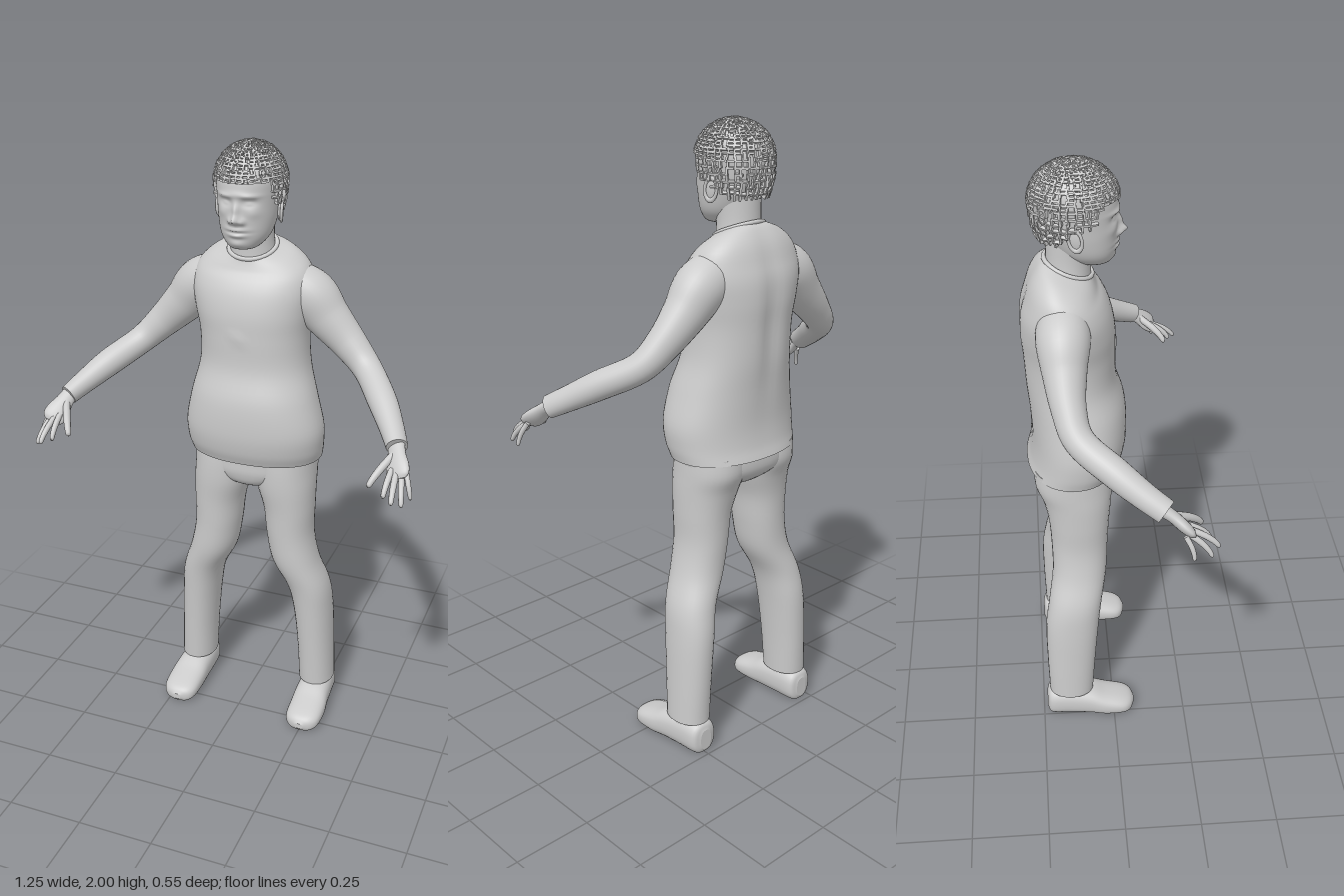
import * as THREE from 'three';
import { mergeGeometries } from 'three/addons/utils/BufferGeometryUtils.js';

const material = new THREE.MeshStandardMaterial({ color: 0xcccccc });
const V = (x, y, z) => new THREE.Vector3(x, y, z);
const gauss = (d, s) => Math.exp(-(d * d) / (s * s));

function add(parent, name, geometry) {
  const mesh = new THREE.Mesh(geometry, material);
  mesh.name = name;
  parent.add(mesh);
  return mesh;
}

// Smooth skin through elliptical sections [x, y, z, halfWidth, halfDepth].
// "wide" is the width direction; "axis" fixes the plane of every section;
// "rule" may move each point.
function loft(sections, { wide = V(1, 0, 0), axis = null, steps = 5, sides = 32, power = 1, rule = null } = {}) {
  const path = new THREE.CatmullRomCurve3(sections.map(s => V(s[0], s[1], s[2])), false, 'catmullrom', 0.5);
  const size = new THREE.CatmullRomCurve3(sections.map(s => V(s[3], s[4], 0)), false, 'catmullrom', 0.5);
  const rows = (sections.length - 1) * steps;
  const pos = [], index = [];
  const round = c => Math.sign(c) * Math.abs(c) ** power;
  const push = p => { if (rule) rule(p); pos.push(p.x, p.y, p.z); };
  const ring = j => {
    const c = path.getPoint(j / rows), r = size.getPoint(j / rows);
    const t = axis || path.getTangent(j / rows);
    const u = wide.clone().addScaledVector(t, -wide.dot(t)).normalize();
    const w = t.clone().cross(u);
    for (let i = 0; i < sides; i++) {
      const a = (i / sides) * Math.PI * 2;
      push(c.clone().addScaledVector(u, r.x * round(Math.cos(a))).addScaledVector(w, r.y * round(Math.sin(a))));
    }
    return c;
  };
  for (let j = 0; j <= rows; j++) ring(j);
  for (let j = 0; j < rows; j++) for (let i = 0; i < sides; i++) {
    const a = j * sides + i, b = j * sides + (i + 1) % sides;
    index.push(a, b, a + sides, b, b + sides, a + sides);
  }
  // End caps with their own vertices so that the rim stays crisp
  for (const j of [0, rows]) {
    const base = pos.length / 3;
    push(ring(j));
    for (let i = 0; i < sides; i++) {
      const a = base + i, b = base + (i + 1) % sides;
      if (j) index.push(a, b, base + sides); else index.push(b, a, base + sides);
    }
  }
  const g = new THREE.BufferGeometry();
  g.setAttribute('position', new THREE.Float32BufferAttribute(pos, 3));
  g.setIndex(index);
  g.computeVertexNormals();
  return g;
}

// Upright skin from rows [y, centreX, halfWidth, backZ, frontZ]
const UP = V(0, 1, 0);
const upright = (rows, options) => loft(
  rows.map(([y, x, w, back, front]) => [x, y, (back + front) / 2, w, (front - back) / 2]), { axis: UP, ...options });

function createBody(root) {
  // Sweater: collar tilts forward, spine is grooved
  add(root, 'sweater', upright([
    [0.985, 0.02, 0.222, -0.268, 0.028], [1.03, 0.02, 0.23, -0.256, 0.045], [1.1, 0.02, 0.231, -0.25, 0.055],
    [1.2, 0.016, 0.208, -0.255, 0.05], [1.3, 0.012, 0.182, -0.265, 0.022], [1.4, 0.008, 0.178, -0.27, 0.02],
    [1.48, 0.003, 0.19, -0.274, 0.018], [1.55, 0, 0.198, -0.268, 0.002], [1.61, 0, 0.185, -0.246, -0.028],
    [1.65, 0, 0.14, -0.215, -0.04], [1.675, 0, 0.082, -0.192, -0.048],
  ], {
    sides: 64, power: 0.9, rule: p => {
      if (p.z < -0.15) p.z += 0.014 * gauss(p.x, 0.035) * gauss(p.y - 1.4, 0.2);
      if (p.z > -0.05) p.z += 0.006 * gauss(p.x, 0.02) * gauss(p.y - 1.41, 0.015);
      p.y -= THREE.MathUtils.smoothstep(p.y, 1.58, 1.67) * (p.z + 0.12) * 0.4;
    },
  }));
  const collar = add(root, 'collar', new THREE.TorusGeometry(0.076, 0.007, 10, 48));
  collar.position.set(0, 1.676, -0.12);
  collar.rotation.x = Math.PI / 2 + 0.38;
  add(root, 'neck', upright([
    [1.6, 0, 0.08, -0.2, -0.05], [1.66, 0, 0.072, -0.188, -0.052], [1.71, 0, 0.068, -0.185, -0.05], [1.78, 0, 0.07, -0.185, -0.04],
  ]));
  add(root, 'trouserSeat', upright([
    [0.865, 0.018, 0.015, -0.14, -0.08], [0.89, 0.018, 0.09, -0.2, -0.02], [0.93, 0.018, 0.185, -0.243, 0],
    [0.98, 0.018, 0.208, -0.25, 0.003], [1.03, 0.018, 0.21, -0.24, 0.01],
  ], { power: 0.85, sides: 48 }));
}

function createLeg() {
  const leg = new THREE.Group();
  add(leg, 'trouserLeg', upright([
    [0.105, 0.2285, 0.061, -0.226, -0.073], [0.25, 0.222, 0.062, -0.23, -0.063], [0.4, 0.211, 0.066, -0.23, -0.05],
    [0.5, 0.194, 0.071, -0.216, -0.038], [0.6, 0.151, 0.079, -0.2, -0.02], [0.7, 0.131, 0.079, -0.2, -0.014],
    [0.8, 0.125, 0.085, -0.206, -0.008], [0.88, 0.113, 0.097, -0.222, 0], [0.94, 0.108, 0.1, -0.245, 0.002],
    [1.0, 0.105, 0.1, -0.245, 0],
  ], { power: 0.93 }));
  add(leg, 'ankle', upright([[0.05, 0.23, 0.05, -0.215, -0.08], [0.14, 0.23, 0.05, -0.215, -0.085]]));
  // Shoe runs from heel to toe with a flat sole
  add(leg, 'shoe', loft([
    [0.23, 0.05, -0.237, 0.022, 0.035], [0.23, 0.054, -0.222, 0.048, 0.055], [0.23, 0.058, -0.16, 0.056, 0.06],
    [0.232, 0.052, -0.085, 0.06, 0.055], [0.235, 0.04, -0.03, 0.063, 0.045], [0.235, 0.032, 0.03, 0.06, 0.034],
    [0.234, 0.027, 0.058, 0.044, 0.026], [0.234, 0.026, 0.072, 0.014, 0.01],
  ], { axis: V(0, 0, 1), power: 0.8, rule: p => { p.y = Math.max(p.y, 0.002) - 0.002; } }));
  return leg;
}

function createArm() {
  const arm = new THREE.Group();
  add(arm, 'sleeve', loft([
    [0.11, 1.565, -0.14, 0.075, 0.075], [0.185, 1.525, -0.145, 0.08, 0.084], [0.245, 1.46, -0.145, 0.066, 0.071],
    [0.32, 1.385, -0.138, 0.052, 0.056], [0.39, 1.318, -0.11, 0.046, 0.046], [0.465, 1.26, -0.015, 0.045, 0.045],
    [0.515, 1.215, 0.06, 0.04, 0.038], [0.551, 1.18, 0.122, 0.037, 0.032],
  ], { wide: V(0, 0.2, 1), steps: 6 }));
  // Hand: flat palm, tapered fingers
  const wide = V(0.9, 0.15, 0.4);
  add(arm, 'palm', loft([
    [0.546, 1.187, 0.11, 0.026, 0.02], [0.556, 1.165, 0.142, 0.029, 0.018], [0.567, 1.14, 0.17, 0.038, 0.018],
    [0.575, 1.122, 0.19, 0.036, 0.014], [0.579, 1.113, 0.2, 0.022, 0.006],
  ], { wide: V(0.9, 0.25, 0.3), sides: 20 }));
  const digits = {
    thumb: [[0.542, 1.157, 0.155], [0.496, 1.09, 0.235], 0.012],
    indexFinger: [[0.553, 1.128, 0.19], [0.548, 1.073, 0.255], 0.0095],
    middleFinger: [[0.569, 1.123, 0.194], [0.578, 1.066, 0.277], 0.0095],
    ringFinger: [[0.585, 1.119, 0.188], [0.604, 1.052, 0.254], 0.009],
    littleFinger: [[0.598, 1.118, 0.176], [0.619, 1.053, 0.2], 0.008],
  };
  for (const [name, [from, to, r]] of Object.entries(digits)) {
    const at = (k, s, lift = 0) => [...V(...from).lerp(V(...to), k).add(V(0, lift, lift * 0.5)).toArray(), r * s, r * s];
    add(arm, name, loft([at(-0.1, 1), at(0.4, 1, 0.006), at(0.75, 0.88, 0.005), at(0.95, 0.7), at(1, 0.2)],
      { wide, sides: 12, steps: 3 }));
  }
  return arm;
}

function createHead() {
  const head = new THREE.Group();
  // Facial relief: [x, y, widthSpread, heightSpread, push]
  const relief = [
    [0, 1.785, 0.014, 0.014, 0.027], [0, 1.812, 0.01, 0.022, 0.014], [0, 1.86, 0.05, 0.01, 0.004],
    [0, 1.755, 0.03, 0.008, 0.01], [0, 1.738, 0.026, 0.008, 0.011], [0, 1.7465, 0.032, 0.003, -0.006],
    [0, 1.71, 0.025, 0.013, 0.007],
  ];
  for (const s of [-1, 1]) relief.push(
    [s * 0.019, 1.78, 0.009, 0.009, 0.012], [s * 0.037, 1.836, 0.02, 0.011, -0.013],
    [s * 0.037, 1.834, 0.013, 0.006, 0.007], [s * 0.042, 1.856, 0.024, 0.006, 0.006], [s * 0.052, 1.805, 0.018, 0.015, 0.004]);
  add(head, 'face', upright([
    [1.688, 0, 0.025, -0.06, -0.01], [1.695, 0, 0.046, -0.1, 0.006], [1.715, 0, 0.066, -0.135, 0.015], [1.74, 0, 0.079, -0.16, 0.02],
    [1.78, 0, 0.088, -0.187, 0.024], [1.82, 0, 0.093, -0.207, 0.026], [1.86, 0, 0.097, -0.217, 0.027],
    [1.9, 0, 0.1, -0.22, 0.022], [1.94, 0, 0.091, -0.205, 0.002], [1.97, 0, 0.067, -0.172, -0.03],
    [1.986, 0, 0.036, -0.136, -0.064], [1.99, 0, 0.008, -0.108, -0.092],
  ], {
    sides: 128, steps: 9, power: 0.95, rule: p => {
      if (p.z < -0.04) return;
      let push = 0;
      for (const [x, y, sx, sy, d] of relief) push += d * gauss(p.x - x, sx) * gauss(p.y - y, sy);
      p.z += push;
    },
  }));
  for (const s of [-1, 1]) {
    const ear = new THREE.Group();
    ear.name = s > 0 ? 'leftEar' : 'rightEar';
    add(ear, 'earShell', new THREE.SphereGeometry(1, 16, 12)).scale.set(0.008, 0.036, 0.02);
    add(ear, 'earRim', new THREE.TorusGeometry(0.02, 0.005, 8, 24).scale(1, 1.65, 1).rotateY(Math.PI / 2)).position.x = s * 0.005;
    ear.position.set(s * 0.095, 1.8, -0.1);
    ear.rotation.set(-0.15, s * 0.3, 0);
    head.add(ear);
  }

  // Hair: lattice of short strands wrapped over the skull above a hairline
  let seed = 7;
  const rnd = () => (seed = (seed * 16807) % 2147483647) / 2147483647;
  const skull = (theta, phi, lift) => {
    const y = Math.cos(phi), r = Math.sin(phi) * (1 + lift);
    return V(0.106 * r * Math.sin(theta), 1.885 + (y > 0 ? 0.109 : 0.2) * y * (1 + lift), -0.1 + 0.127 * r * Math.cos(theta));
  };
  const hairline = z => 1.765 + 0.055 * THREE.MathUtils.smoothstep(z, -0.18, -0.08)
    + 0.075 * THREE.MathUtils.smoothstep(z, -0.07, -0.01);
  const strands = [], dummy = new THREE.Object3D(), centre = V(0, 1.87, -0.1);
  const strand = (p, q) => {
    if (Math.min(p.y, q.y) < hairline((p.z + q.z) / 2)) return;
    dummy.position.copy(p).lerp(q, 0.5);
    dummy.up.copy(dummy.position).sub(centre).normalize();
    dummy.lookAt(q);
    dummy.updateMatrix();
    strands.push(new THREE.BoxGeometry(0.005 + 0.003 * rnd(), 0.011, p.distanceTo(q) * 1.15).applyMatrix4(dummy.matrix));
  };
  const around = 36, rings = 22;
  for (let j = 1; j < rings; j++) for (let i = 0; i < around; i++) {
    if (j < 5 && i % 2) continue;
    const dt = (Math.PI * 2 / around) * (j < 5 ? 2 : 1), dp = 0.098;
    const t = (i + 0.35 * (rnd() - 0.5)) * Math.PI * 2 / around, f = j * dp;
    const lift = () => 0.05 * (rnd() - 0.45);
    strand(skull(t, f, lift()), skull(t, f + dp, lift()));
    if (rnd() < 0.75) strand(skull(t, f, lift()), skull(t + dt, f, lift()));
  }
  add(head, 'hair', mergeGeometries(strands));
  return head;
}

export function createModel() {
  const root = new THREE.Group();
  root.name = 'standingPerson';
  createBody(root);
  const head = createHead();
  head.name = 'head';
  root.add(head);
  // Mirrored limbs; the hips sit slightly to one side
  for (const [side, s] of [['left', 1], ['right', -1]]) {
    const leg = createLeg(), arm = createArm();
    leg.name = side + 'Leg';
    leg.position.x = 0.018;
    arm.name = side + 'Arm';
    leg.scale.x = arm.scale.x = s;
    root.add(leg, arm);
  }
  return root;
}
